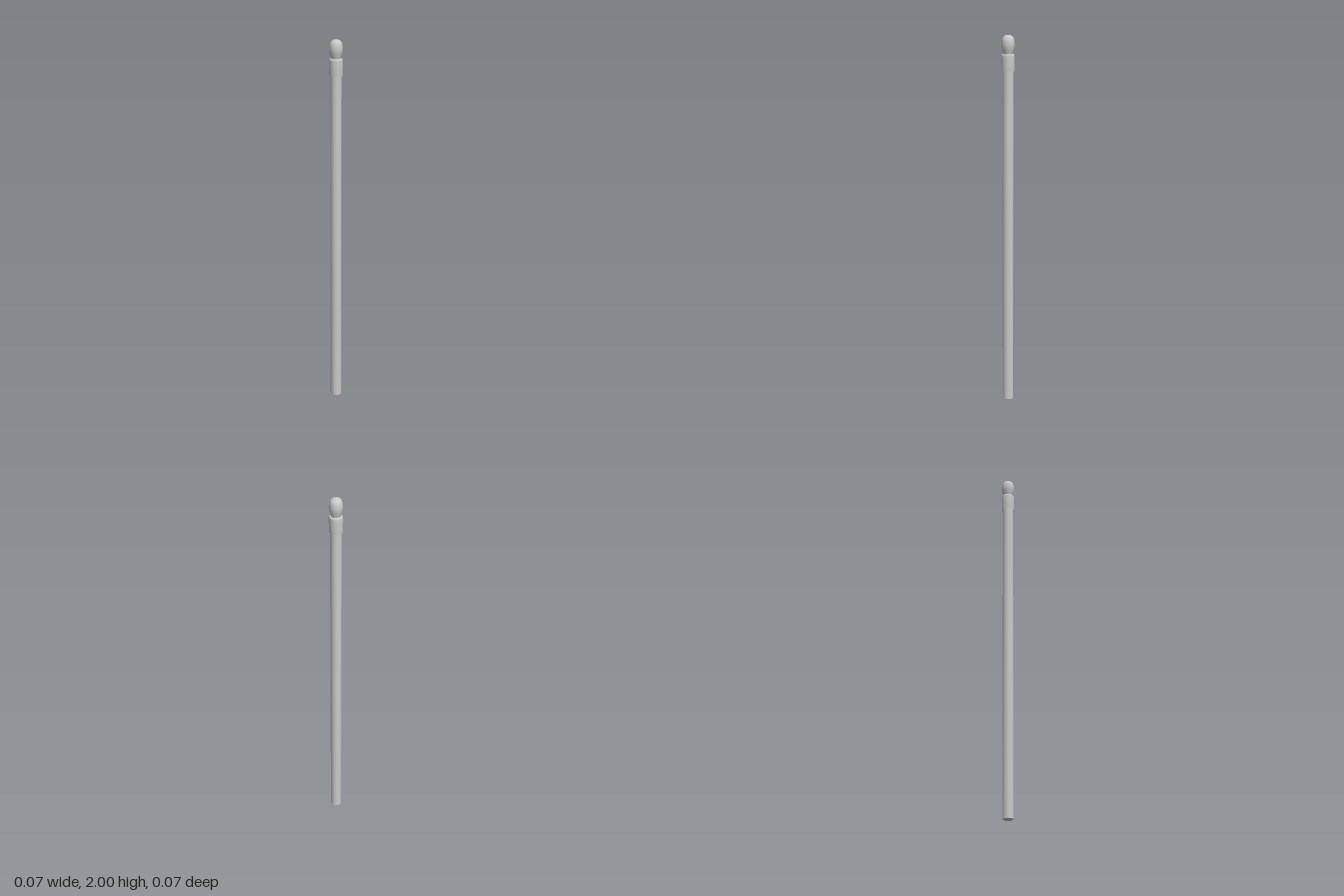
import * as THREE from 'three';

const SIDES = 10;

export function createModel() {
  const group = new THREE.Group();
  const material = new THREE.MeshStandardMaterial({ color: 0xcccccc });

  const addLathe = (name, profile) => {
    const points = profile.map(([r, y]) => new THREE.Vector2(r, y));
    const mesh = new THREE.Mesh(new THREE.LatheGeometry(points, SIDES), material);
    mesh.name = name;
    group.add(mesh);
  };

  // Flat underside of the pole
  addLathe('poleBase', [[0, 0], [0.03, 0]]);

  // Long shaft stepping out into the collar, shaded as one smooth surface
  addLathe('shaftAndCollar', [
    [0.03, 0], [0.03, 1.81], [0.036, 1.81], [0.036, 1.89], [0.033, 1.9], [0.025, 1.9],
  ]);

  // Rounded finial rising from a narrow neck
  addLathe('finial', [
    [0.025, 1.9], [0.027, 1.91], [0.034, 1.93], [0.036, 1.95],
    [0.034, 1.972], [0.028, 1.988], [0.016, 1.997], [0, 2],
  ]);

  return group;
}
